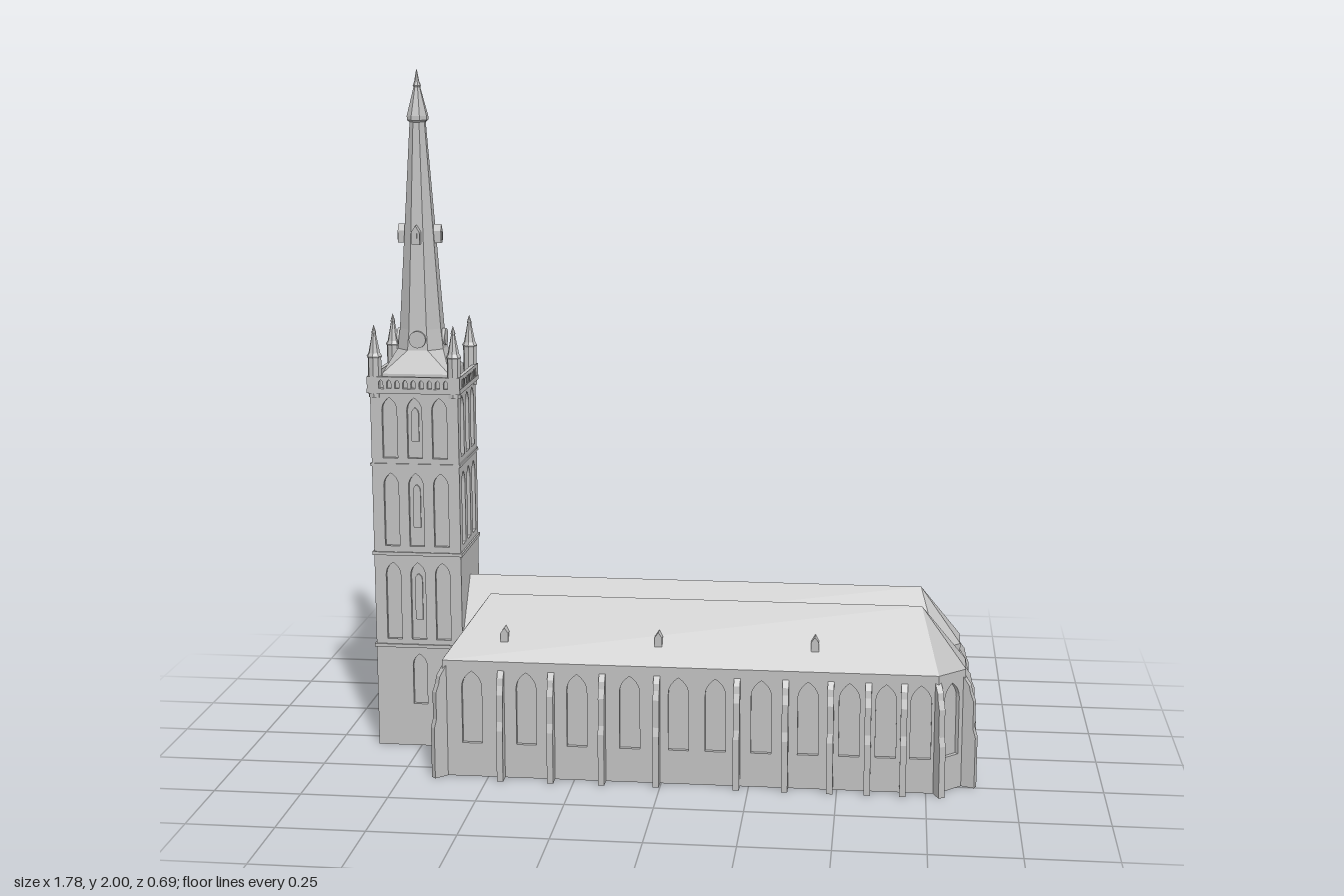
import * as THREE from 'three';

const stone = new THREE.MeshStandardMaterial({ color: 0xbfbfbf, side: THREE.DoubleSide });
stone.name = 'stone grey';

function add(parent, name, geo, x = 0, y = 0, z = 0, ry = 0) {
  const m = new THREE.Mesh(geo, stone);
  m.name = name;
  m.position.set(x, y, z);
  m.rotation.y = ry;
  parent.add(m);
  return m;
}

// Pointed-arch outline, used for openings and raised tracery
function lancet(path, u, y0, y1, w) {
  const s = y1 - w * 0.85, h = w / 2;
  path.moveTo(u - h, y0);
  path.lineTo(u + h, y0);
  path.lineTo(u + h, s);
  path.quadraticCurveTo(u + h, s + (y1 - s) * 0.6, u, y1);
  path.quadraticCurveTo(u - h, s + (y1 - s) * 0.6, u - h, s);
  path.closePath();
  return path;
}

// Wall from a to b ([x, z]) with recessed openings [u, y0, y1, width]
function wall(parent, name, a, b, h, openings = [], y = 0, depth = 0.012) {
  const dx = b[0] - a[0], dz = b[1] - a[1], L = Math.hypot(dx, dz);
  const g = new THREE.Group();
  g.name = name;
  g.position.set(a[0], y, a[1]);
  g.rotation.y = Math.atan2(-dz, dx);
  const s = new THREE.Shape([[0, 0], [L, 0], [L, h], [0, h]].map(p => new THREE.Vector2(...p)));
  openings.forEach(o => s.holes.push(lancet(new THREE.Path(), ...o)));
  add(g, 'masonry', new THREE.ExtrudeGeometry(s, { depth, bevelEnabled: false, curveSegments: 5 }), 0, 0, -depth);
  add(g, 'recess', new THREE.PlaneGeometry(L, h), L / 2, h / 2, -depth);
  parent.add(g);
  return g;
}

// Flat-shaded mesh from polygons of 3 or 4 points
function faces(polys) {
  const p = [];
  for (const f of polys) for (let i = 1; i < f.length - 1; i++) p.push(...f[0], ...f[i], ...f[i + 1]);
  const g = new THREE.BufferGeometry();
  g.setAttribute('position', new THREE.Float32BufferAttribute(p, 3));
  g.computeVertexNormals();
  return g;
}

// Every eave edge rises to the nearer end of the ridge
function roof(parent, poly, eave, A, B) {
  const end = p => (p[0] < 0 ? A : B);
  add(parent, 'roof', faces(poly.map((a, i) => {
    const b = poly[(i + 1) % poly.length];
    const f = [[a[0], eave, a[1]], [b[0], eave, b[1]], end(b)];
    if (end(a) !== end(b)) f.push(end(a));
    return f;
  })));
}

// Stepped buttress at x, z leaning out along nx, nz
function buttress(parent, x, z, nx, nz) {
  const pts = [[-0.008, 0], [0.036, 0], [0.036, 0.15], [0.028, 0.175], [0.028, 0.255], [0.018, 0.28], [0.014, 0.3], [-0.008, 0.33]];
  const g = new THREE.ExtrudeGeometry(new THREE.Shape(pts.map(p => new THREE.Vector2(...p))), { depth: 0.018, bevelEnabled: false });
  g.translate(0, 0, -0.009);
  add(parent, 'buttress', g, x, 0, z, Math.atan2(-nz, nx));
}

function floor(parent, poly) {
  const g = new THREE.ShapeGeometry(new THREE.Shape(poly.map(p => new THREE.Vector2(...p))));
  add(parent, 'floor', g.rotateX(Math.PI / 2));
}

// Small gabled house shape, front facing +z
function gabled(w, h, d) {
  const s = new THREE.Shape([[-w / 2, 0], [w / 2, 0], [w / 2, h * 0.65], [0, h], [-w / 2, h * 0.65]].map(p => new THREE.Vector2(...p)));
  return new THREE.ExtrudeGeometry(s, { depth: d, bevelEnabled: false });
}

const EAVE = 0.345;
// One hall of the church; windows(i, a, b) gives distances along edge i
function hall(root, name, poly, A, B, windows) {
  const g = new THREE.Group();
  g.name = name;
  poly.forEach((a, i) => {
    const b = poly[(i + 1) % poly.length];
    wall(g, 'wall', a, b, EAVE, windows(i, a, b).map(u => [u, 0.1, 0.315, 0.058]));
  });
  floor(g, poly);
  roof(g, poly, EAVE, A, B);
  root.add(g);
  return g;
}

const mid = (a, b) => [Math.hypot(b[0] - a[0], b[1] - a[1]) / 2];
// Window positions halfway between neighbouring buttresses, two in a wide bay
const bays = (xs, x0) => xs.slice(1).flatMap((x, i) => {
  const p = xs[i], w = x - p;
  return Math.abs(w) > 0.2 ? [p + w * 0.27, p + w * 0.73] : [p + w / 2];
}).map(x => Math.abs(x - x0));

function buildTower(root) {
  const t = new THREE.Group();
  t.name = 'tower';
  t.position.set(-0.75, 0, -0.063);
  root.add(t);
  const H = 0.13, R = 0.137;
  const square = h => [[-h, h], [h, h], [h, -h], [-h, -h]];
  // sides in order: front, east, back, west
  square(H).forEach((a, i) => {
    const b = square(H)[(i + 1) % 4], open = [];
    [[0.33, 0.565], [0.615, 0.835], [0.88, 1.06]].forEach(([y0, y1], k) => {
      if (i === 1 && k === 0) return;
      for (const o of [-0.074, 0, 0.074]) open.push([H + o, y0, y1, 0.044]);
    });
    if (i === 0 || i === 2) open.push([H, 0.13, 0.285, 0.042]);
    if (i === 3) open.push([H, 0.005, 0.25, 0.085]);
    const w = wall(t, 'tower side', a, b, 1.08, open);
    // narrow tracery in the middle bays
    for (const [y0, y1] of [[0.39, 0.53], [0.67, 0.8], [0.93, 1.03]]) {
      if (i === 1 && y0 < 0.6) continue;
      add(w, 'belfry light', new THREE.ExtrudeGeometry(lancet(new THREE.Shape(), H, y0, y1, 0.022), { depth: 0.005, bevelEnabled: false, curveSegments: 4 }), 0, 0, -0.012);
    }
    if (i === 3) add(w, 'door', new THREE.ExtrudeGeometry(lancet(new THREE.Shape(), H, 0.005, 0.15, 0.05), { depth: 0.006, bevelEnabled: false, curveSegments: 4 }), 0, 0, -0.012);
    // pierced parapet
    const pa = square(R)[i], pb = square(R)[(i + 1) % 4];
    wall(t, 'parapet', pa, pb, 0.047, Array.from({ length: 9 }, (_, k) => [R + (k - 4) * 0.024, 0.013, 0.038, 0.013]), 1.075);
    // corner pinnacle
    const [px, pz] = [a[0] * 0.9, a[1] * 0.9].map(v => v * 1.0);
    const pin = [[0, 1.06], [0.02, 1.06], [0.02, 1.175], [0.023, 1.18], [0.017, 1.19], [0.006, 1.245], [0.007, 1.25], [0, 1.272]];
    const geo = new THREE.LatheGeometry(pin.map(p => new THREE.Vector2(...p)), 8).toNonIndexed();
    geo.computeVertexNormals();
    add(t, 'pinnacle', geo, px, 0, pz);
  });
  floor(t, square(H));
  const ledge = (y, h, r) => add(t, 'string course', new THREE.BoxGeometry(2 * r, h, 2 * r), 0, y, 0);
  // string courses project as thin plates
  ledge(0.31, 0.01, 0.135); ledge(0.592, 0.01, 0.135); ledge(0.86, 0.008, 0.134); ledge(1.08, 0.014, 0.138);

  // Broach spire: square base turning into an octagon
  const ring = ([y, h, c]) => [[-c, h], [c, h], [h, c], [h, -c], [c, -h], [-c, -h], [-h, -c], [-h, c]].map(p => [p[0], y, p[1]]);
  const levels = [[1.085, 0.102, 0.102], [1.125, 0.1, 0.1], [1.19, 0.068, 0.03], [1.25, 0.061, 0.026], [1.85, 0.022, 0.009],
    [1.856, 0.029, 0.012], [1.868, 0.029, 0.012], [1.95, 0.009, 0.004], [1.955, 0.011, 0.005], [1.965, 0.007, 0.003], [2, 0.001, 0.0005]].map(ring);
  const polys = [];
  for (let k = 1; k < levels.length; k++) for (let i = 0; i < 8; i++) {
    const j = (i + 1) % 8;
    polys.push([levels[k - 1][i], levels[k - 1][j], levels[k][j], levels[k][i]]);
  }
  add(t, 'spire', faces(polys));
  for (let i = 0; i < 4; i++) {
    const side = new THREE.Group();
    side.name = 'spire side';
    side.rotation.y = i * Math.PI / 2;
    add(side, 'lucarne', gabled(0.024, 0.055, 0.034), 0, 1.5, 0.03);
    add(side, 'lucarne light', new THREE.BoxGeometry(0.01, 0.025, 0.004), 0, 1.52, 0.065);
    add(side, 'clock', new THREE.CylinderGeometry(0.025, 0.025, 0.012, 20).rotateX(Math.PI / 2), 0, 1.222, 0.066);
    t.add(side);
  }
}

export function createModel() {
  const root = new THREE.Group();
  root.name = 'church';
  buildTower(root);

  // South hall with polygonal east end
  const sB = [-0.46, -0.315, -0.168, -0.012, 0.216, 0.353, 0.48, 0.585, 0.685];
  const sPoly = [[-0.63, 0.307], [0.78, 0.307], [0.857, 0.232], [0.857, 0.128], [0.78, 0.053], [-0.63, 0.053]];
  const south = hall(root, 'south hall', sPoly, [-0.51, 0.51, 0.18], [0.73, 0.51, 0.18],
    (i, a, b) => i === 0 ? bays([-0.63, ...sB, 0.78], -0.63) : i === 4 ? [] : mid(a, b));
  sB.forEach(x => buttress(south, x, 0.307, 0, 1));
  buttress(south, -0.63, 0.307, -0.7, 0.7);
  buttress(south, 0.78, 0.307, 0.38, 0.92);
  buttress(south, 0.857, 0.232, 0.92, 0.38);
  buttress(south, 0.857, 0.128, 0.92, -0.38);
  for (const x of [-0.455, -0.012, 0.432]) add(south, 'dormer', gabled(0.022, 0.045, 0.05), x, 0.39, 0.22);

  // Central nave against the tower
  const nPoly = [[-0.62, 0.053], [0.78, 0.053], [0.847, -0.014], [0.847, -0.118], [0.78, -0.185], [-0.62, -0.185]];
  const nave = hall(root, 'nave', nPoly, [-0.62, 0.5, -0.064], [0.73, 0.5, -0.064],
    (i, a, b) => i === 0 || i === 5 ? [] : i === 4 ? [0.08] : mid(a, b));
  buttress(nave, 0.847, -0.014, 0.92, 0.38);
  buttress(nave, 0.847, -0.118, 0.92, -0.38);
  buttress(nave, 0.78, -0.185, 0.38, -0.92);

  // Lower north aisle with hipped ends
  const aB = [0.49, 0.35, 0.216, 0.09, -0.04, -0.17, -0.46];
  const aPoly = [[-0.63, -0.185], [0.62, -0.185], [0.62, -0.312], [-0.63, -0.312]];
  const aisle = hall(root, 'north aisle', aPoly, [-0.57, 0.432, -0.248], [0.56, 0.432, -0.248],
    (i, a, b) => i === 0 ? [] : i === 2 ? bays([0.62, ...aB, -0.63], 0.62) : mid(a, b));
  aB.forEach(x => buttress(aisle, x, -0.312, 0, -1));
  buttress(aisle, 0.62, -0.312, 0.7, -0.7);
  buttress(aisle, -0.63, -0.312, -0.7, -0.7);
  for (const x of [-0.405, 0.135]) add(aisle, 'dormer', gabled(0.022, 0.045, 0.04), x, 0.38, -0.25, Math.PI);
  return root;
}
